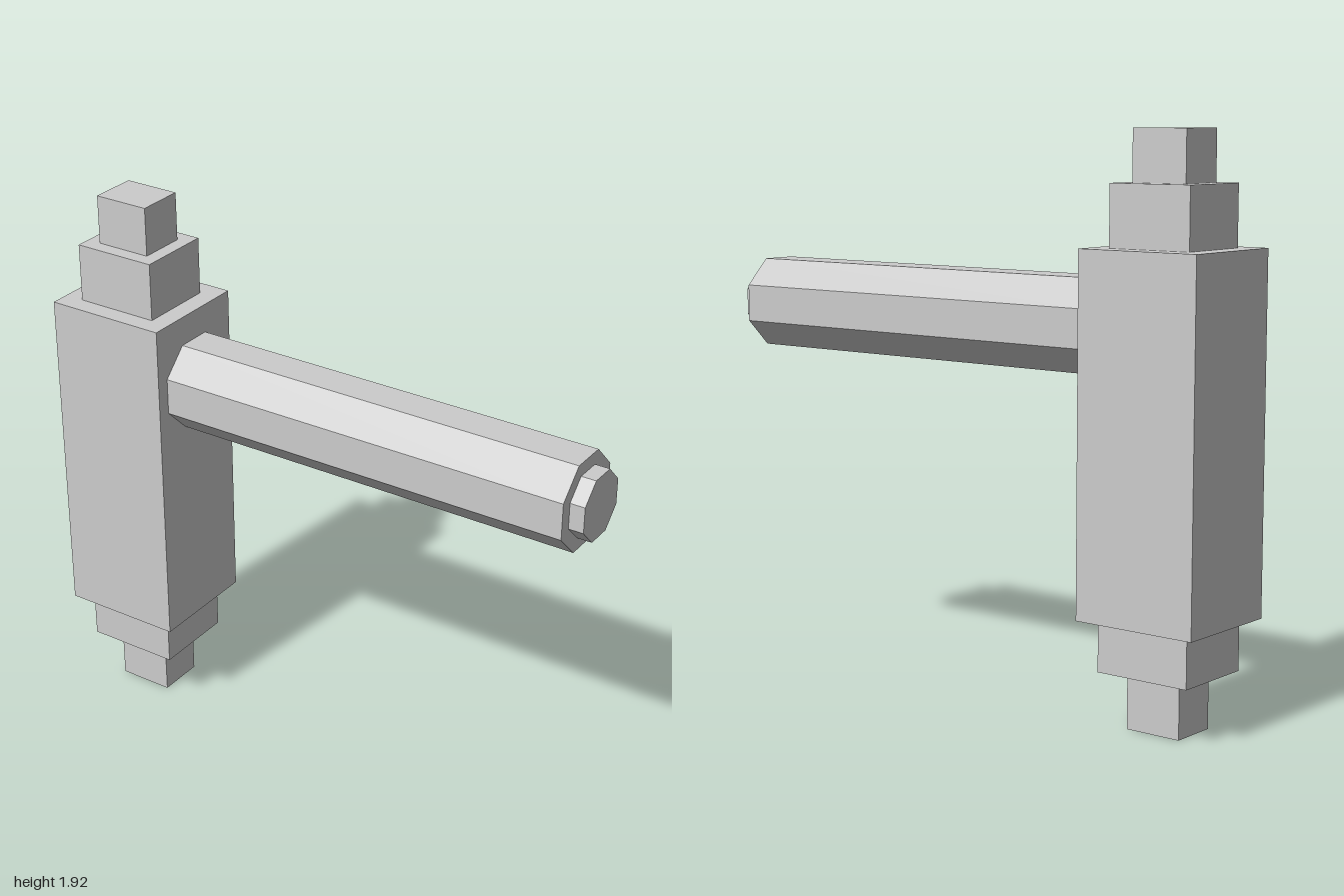
import * as THREE from 'three';

export function createModel() {
  const model = new THREE.Group();
  const grey = new THREE.MeshStandardMaterial({ color: 0xcccccc, flatShading: true });
  grey.name = 'light grey';

  const add = (name, geometry, x, y, z = 0) => {
    const mesh = new THREE.Mesh(geometry, grey);
    mesh.name = name;
    mesh.position.set(x, y, z);
    model.add(mesh);
    return mesh;
  };

  // Stepped upright: name, x from/to, y from/to, depth
  const blocks = [
    ['lowerTip', -0.88, -0.68, 0, 0.19, 0.168],
    ['lowerCollar', -0.95, -0.61, 0.19, 0.36, 0.3],
    ['mainBlock', -1, -0.56, 0.36, 1.547, 0.404],
    ['upperCollar', -0.93, -0.63, 1.547, 1.75, 0.27],
    ['upperTip', -0.88, -0.68, 1.75, 1.92, 0.168],
  ];
  for (const [name, x0, x1, y0, y1, depth] of blocks) {
    add(name, new THREE.BoxGeometry(x1 - x0, y1 - y0, depth), (x0 + x1) / 2, (y0 + y1) / 2);
  }

  // Octagonal rods along x, with flats facing up, down, front and back
  const rod = (name, x0, x1, halfWidth) => {
    const radius = halfWidth / Math.cos(Math.PI / 8);
    const geometry = new THREE.CylinderGeometry(radius, radius, x1 - x0, 8);
    geometry.rotateY(Math.PI / 8);
    geometry.rotateZ(-Math.PI / 2);
    add(name, geometry, (x0 + x1) / 2, 1.29);
  };
  rod('handle', -0.57, 0.948, 0.155);
  rod('handleCap', 0.94, 1, 0.11);

  return model;
}
